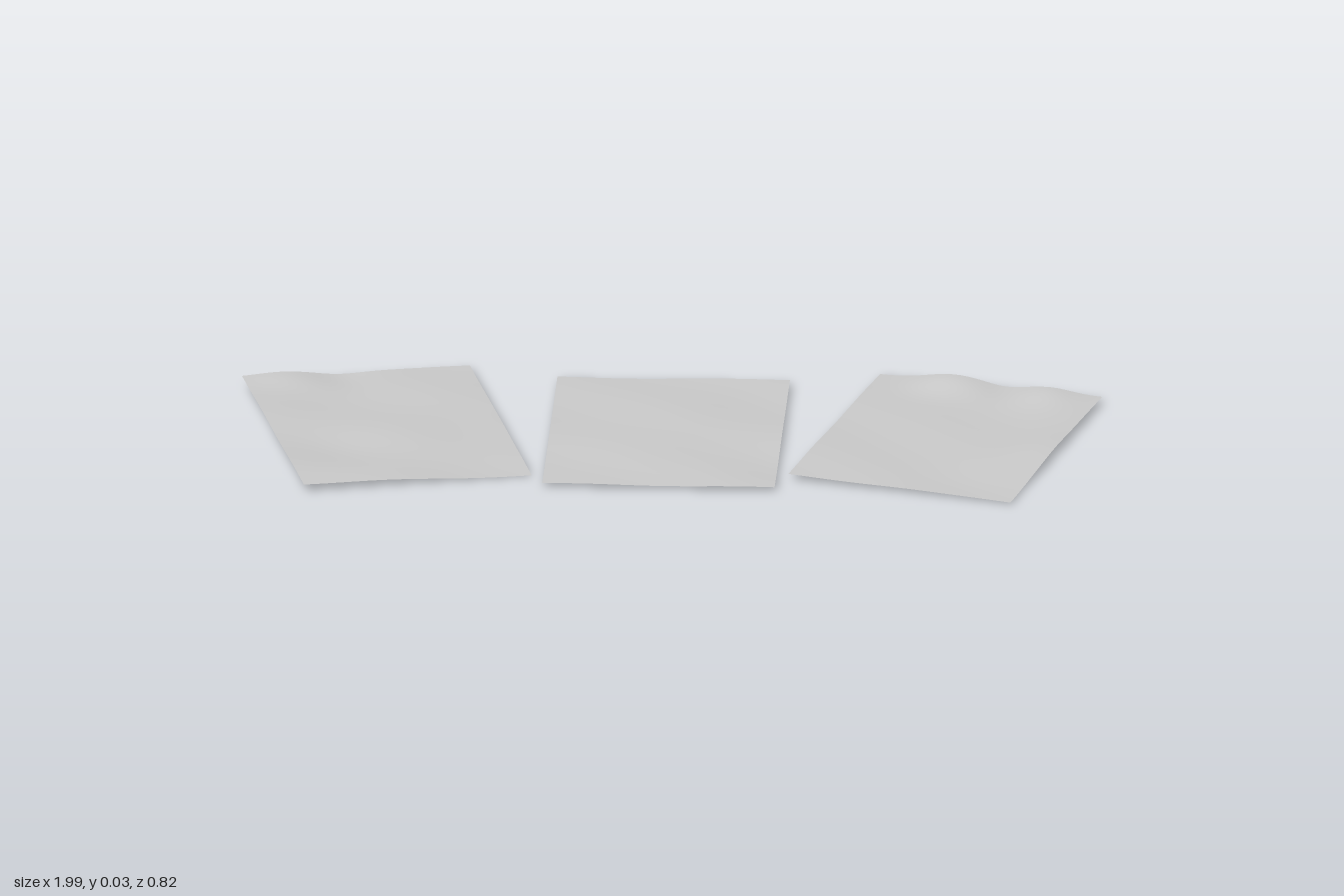
import * as THREE from 'three';

const W = 0.537, D = 0.706;

// Gentle crumple shared by all sheets, shifted by a phase
const ripple = (u, v, p) =>
  0.0012 * Math.sin(4.2 * u + 2.1 * v + p) + 0.001 * Math.sin(6.3 * v - 3.1 * u + 2 * p);

// Paper sheet: corner heights [backLeft, backRight, frontLeft, frontRight] as seen from above,
// plus soft dents and folds [u, v, height, radiusU, radiusV] with u, v in -1..1
function makeSheet(name, material, { x, angle, corners, bumps, phase }) {
  const geo = new THREE.PlaneGeometry(W, D, 36, 48).rotateX(-Math.PI / 2);
  const pos = geo.attributes.position;
  const [bl, br, fl, fr] = corners;
  for (let i = 0; i < pos.count; i++) {
    const u = pos.getX(i) / (W / 2), v = pos.getZ(i) / (D / 2);
    const s = (u + 1) / 2, t = (v + 1) / 2;
    let y = (bl * (1 - s) + br * s) * (1 - t) + (fl * (1 - s) + fr * s) * t;
    y += ripple(u, v, phase);
    for (const [bu, bv, h, ru, rv] of bumps)
      y += h * Math.exp(-(((u - bu) / ru) ** 2) - ((v - bv) / rv) ** 2);
    pos.setY(i, Math.max(0, y));
  }
  geo.computeVertexNormals();
  const mesh = new THREE.Mesh(geo, material);
  mesh.name = name;
  mesh.position.x = x;
  mesh.rotation.y = angle;
  return mesh;
}

export function createModel() {
  const group = new THREE.Group();
  group.name = 'paperSheets';
  const paper = new THREE.MeshStandardMaterial({ color: 0xcccccc, side: THREE.DoubleSide });

  group.add(
    makeSheet('rightSheet', paper, {
      x: -0.645, angle: 0.254, phase: 0.4,
      corners: [0.031, 0.018, 0.022, 0.003],
      bumps: [
        [-0.65, -0.95, 0.006, 0.3, 0.2],
        [-0.15, -0.95, -0.006, 0.25, 0.25],
        [-0.5, 0.35, -0.004, 0.4, 0.3],
        [0.95, 0.1, 0.004, 0.3, 0.3],
      ],
    }),
    makeSheet('middleSheet', paper, {
      x: 0, angle: 0, phase: 2.2,
      corners: [0.013, 0.016, 0.012, 0.012],
      bumps: [[0, 0, 0.005, 0.8, 0.8], [1, 0.6, -0.004, 0.4, 0.4]],
    }),
    makeSheet('leftSheet', paper, {
      x: 0.645, angle: -0.254, phase: 4.1,
      corners: [0.016, 0.018, 0.017, 0.008],
      bumps: [
        [-0.35, -0.97, 0.016, 0.32, 0.25],
        [0.12, -0.97, -0.004, 0.16, 0.2],
        [0.55, -0.97, 0.011, 0.25, 0.25],
        [0.95, 0.0, 0.007, 0.3, 0.35],
        [0.4, 0.85, -0.003, 0.4, 0.3],
      ],
    }),
  );
  return group;
}
